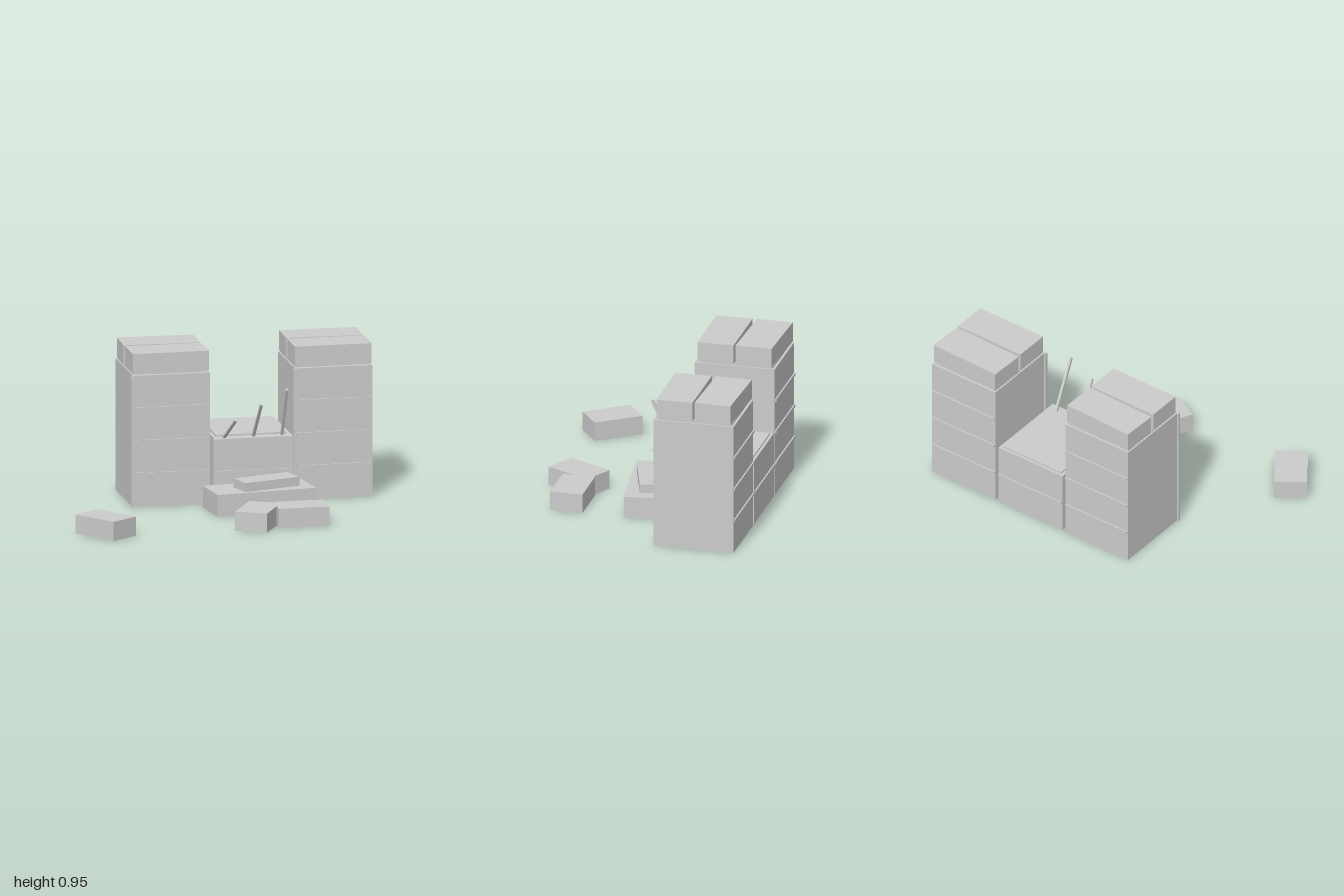
import * as THREE from 'three';

export function createModel() {
  const model = new THREE.Group();
  const stone = new THREE.MeshStandardMaterial({ color: 0xcccccc });
  stone.name = 'stone';

  // Box from its limits on each axis, turned about its own upright axis
  function box(name, [x0, x1], [y0, y1], [z0, z1], turn = 0, parent = model) {
    const mesh = new THREE.Mesh(new THREE.BoxGeometry(x1 - x0, y1 - y0, z1 - z0), stone);
    mesh.name = name;
    mesh.position.set((x0 + x1) / 2, (y0 + y1) / 2, (z0 + z1) / 2);
    mesh.rotation.y = turn;
    parent.add(mesh);
    return mesh;
  }

  // Loose block given by its centre, size and turn
  function block(name, x, z, length, width, y0, y1, turn) {
    box(name, [x - length / 2, x + length / 2], [y0, y1], [z - width / 2, z + width / 2], turn);
  }

  // Wall section: body, upright front seam, raised seams front and back
  function section(name, x0, x1, height, front, seams) {
    const group = new THREE.Group();
    group.name = name;
    model.add(group);
    const back = -0.705;
    box('body', [x0, x1], [0, height], [back, front], 0, group);
    box('uprightSeam', [x0 - 0.012, x0 + 0.004], [0, height], [front - 0.008, front + 0.008], 0, group);
    for (const y of seams) {
      box('frontSeam', [x0 + 0.005, x1 - 0.005], [y - 0.008, y + 0.008], [front - 0.01, front + 0.009], 0, group);
      box('backSeam', [x0 + 0.005, x1 - 0.005], [y - 0.008, y + 0.008], [back - 0.009, back + 0.01], 0, group);
    }
    return group;
  }

  // Two tall pillars, each topped by a straight and a slightly turned brick
  for (const [name, x0, x1] of [['rightPillar', -0.5, -0.02], ['leftPillar', 0.514, 0.998]]) {
    const pillar = section(name, x0, x1, 0.822, -0.2, [0.207, 0.412, 0.617]);
    box('capMortar', [x0 + 0.01, x1 - 0.01], [0.82, 0.832], [-0.69, -0.23], 0, pillar);
    box('frontCapBrick', [x0 + 0.003, x1 - 0.002], [0.832, 0.955], [-0.445, -0.217], 0, pillar);
    box('backCapBrick', [x0 + 0.003, x1 - 0.002], [0.832, 0.955], [-0.692, -0.464], -0.03, pillar);
  }

  // Broken low wall between the pillars
  const wall = section('lowWall', 0.002, 0.49, 0.412, -0.151, [0.205]);
  box('topMortar', [0.025, 0.467], [0.405, 0.422], [-0.687, -0.23], 0, wall);

  // Bent bars sticking out of the low wall
  const up = new THREE.Vector3(0, 1, 0);
  for (const [bx, tx, ty] of [[0.063, 0.11, 0.55], [0.25, 0.27, 0.64], [0.43, 0.43, 0.727]]) {
    const base = new THREE.Vector3(bx, 0.405, -0.2);
    const span = new THREE.Vector3(tx, ty, -0.047).sub(base);
    const bar = new THREE.Mesh(new THREE.BoxGeometry(0.017, span.length(), 0.017), stone);
    bar.name = 'bar';
    bar.position.copy(base).addScaledVector(span, 0.5);
    bar.quaternion.setFromUnitVectors(up, span.normalize());
    model.add(bar);
  }

  // Fallen slabs and bricks
  block('fallenSlab', 0.248, -0.004, 0.635, 0.276, 0, 0.136, 0.122);
  block('fallenPlank', 0.292, -0.002, 0.376, 0.152, 0.136, 0.192, 0.297);
  block('looseBrickFar', -0.825, 0.523, 0.315, 0.204, 0, 0.12, -0.943);
  block('looseBrickTurned', 0.135, 0.49, 0.315, 0.204, 0, 0.12, 1.079);
  block('looseBrickStraight', 0.408, 0.461, 0.315, 0.204, 0, 0.12, 0);

  return model;
}
